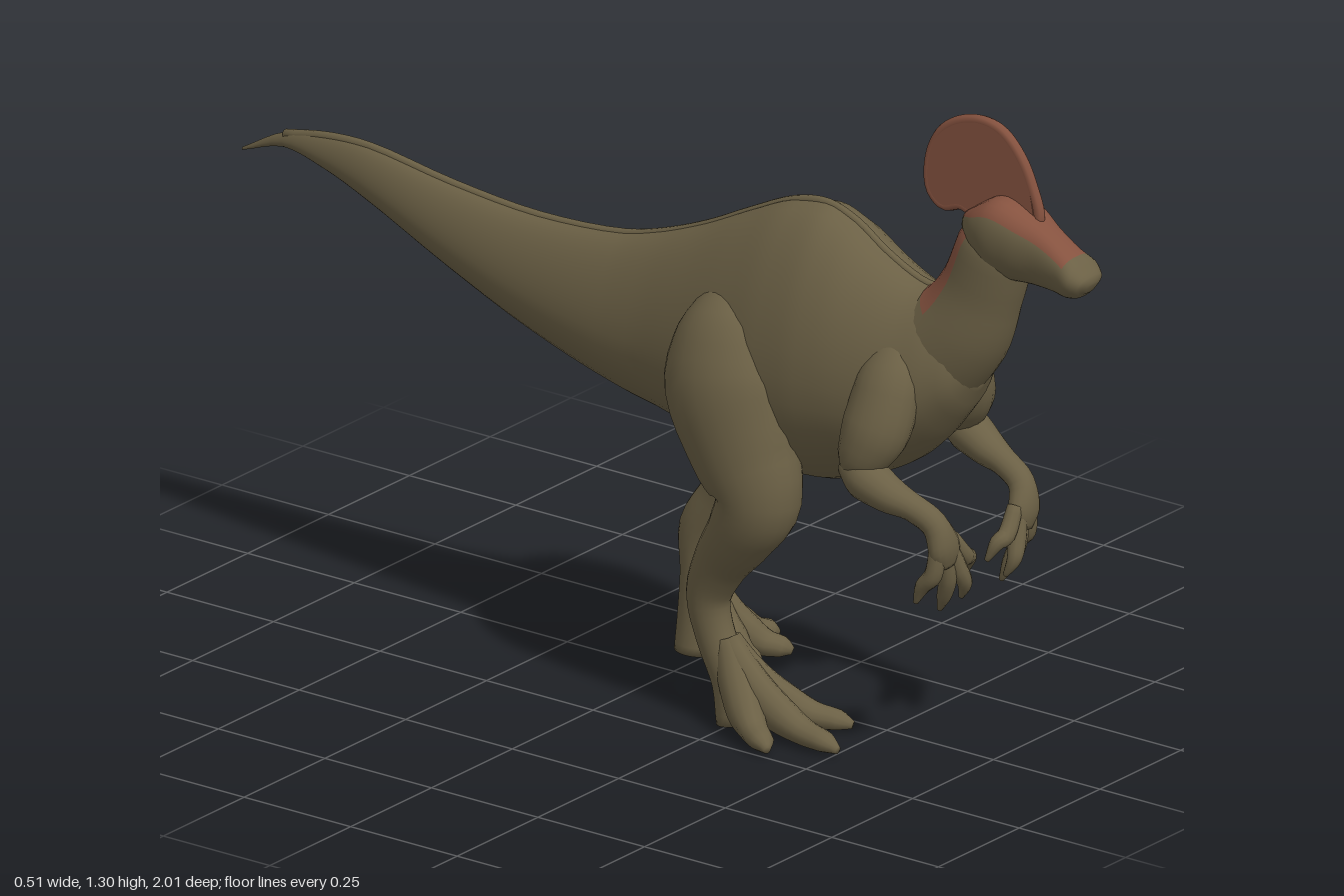
import * as THREE from 'three';

const mat = (name, color) => {
  const m = new THREE.MeshStandardMaterial({ color });
  m.name = name;
  return m;
};
const CX = -0.022; // centreline of the body

export function createModel() {
  const olive = mat('olive skin', 0x6b6045);
  const red = mat('rust red skin', 0x85523f);
  const model = new THREE.Group();

  // Smooth sweep through rows [x, y, z, halfWidth, halfDepth]; angle 0 is the upper/back side.
  // isRed(angle from 0, position along 0..1) picks red faces; upright keeps the rings vertical.
  function sweep(name, rows, { n = 20, per = 4, shape = null, isRed = () => false, upright = false, parent = model } = {}) {
    const path = new THREE.CatmullRomCurve3(rows.map(r => new THREE.Vector3(r[0], r[1], r[2])));
    const size = new THREE.CatmullRomCurve3(rows.map(r => new THREE.Vector3(r[3], r[4], 0)));
    const steps = (rows.length - 1) * per;
    const pos = [], main = [], accent = [];
    for (let j = 0; j <= steps; j++) {
      const u = j / steps, c = path.getPoint(u), s = size.getPoint(u);
      const t = upright ? new THREE.Vector3(0, 0, 1) : path.getTangent(u);
      const side = new THREE.Vector3(1, 0, 0).addScaledVector(t, -t.x).normalize();
      const up = new THREE.Vector3().crossVectors(t, side);
      for (let i = 0; i < n; i++) {
        const a = (i - 0.5) / n * Math.PI * 2;
        const [px, py] = shape ? shape(a) : [Math.sin(a), Math.cos(a)];
        const p = c.clone().addScaledVector(side, px * Math.max(s.x, 0.001))
          .addScaledVector(up, py * Math.max(s.y, 0.001));
        pos.push(p.x, p.y, p.z);
      }
    }
    for (let j = 0; j < steps; j++) for (let i = 0; i < n; i++) {
      const mid = Math.abs(i > n / 2 ? i - n : i) / n * Math.PI * 2;
      const k = (i + 1) % n, a = j * n + i, b = j * n + k, c = a + n, d = b + n;
      (isRed(mid, (j + 0.5) / steps) ? accent : main).push(a, c, b, b, c, d);
    }
    // ends close on a centre vertex
    const e = pos.length / 3, p0 = path.getPoint(0), p1 = path.getPoint(1), l = steps * n;
    pos.push(p0.x, p0.y, p0.z, p1.x, p1.y, p1.z);
    for (let i = 0; i < n; i++) {
      const k = (i + 1) % n;
      main.push(e, i, k, e + 1, l + k, l + i);
    }
    const g = new THREE.BufferGeometry();
    g.setAttribute('position', new THREE.Float32BufferAttribute(pos, 3));
    g.setIndex([...main, ...accent]);
    g.addGroup(0, main.length, 0);
    g.addGroup(main.length, accent.length, 1);
    g.computeVertexNormals();
    const mesh = new THREE.Mesh(g, [olive, red]);
    mesh.name = name;
    parent.add(mesh);
  }

  // Torso and tail: [z, top, bottom, half width], with a keeled belly
  const profile = [
    [-1, 0.828, 0.822, 0.002], [-0.9, 0.882, 0.852, 0.011], [-0.8, 0.9, 0.83, 0.021],
    [-0.7, 0.903, 0.793, 0.032], [-0.5, 0.875, 0.705, 0.052], [-0.3, 0.86, 0.625, 0.07],
    [-0.1, 0.873, 0.565, 0.09], [0, 0.9, 0.545, 0.102], [0.1, 0.94, 0.522, 0.122],
    [0.2, 0.99, 0.498, 0.142], [0.3, 1.035, 0.488, 0.156], [0.38, 1.047, 0.495, 0.159],
    [0.45, 1.025, 0.512, 0.155], [0.52, 0.98, 0.54, 0.147], [0.6, 0.943, 0.585, 0.132],
    [0.66, 0.935, 0.64, 0.112], [0.71, 0.91, 0.705, 0.082], [0.74, 0.86, 0.765, 0.035],
  ];
  const lean = z => CX + 0.006 * Math.max(0, -z);
  sweep('torsoAndTail', profile.map(([z, t, b, w]) => [lean(z), (t + b) / 2, z, w, (t - b) / 2]), {
    n: 32, upright: true,
    shape: a => {
      const c = Math.cos(a);
      return [Math.sin(a) * (1 - 0.17 * c - (c < 0 ? 0.35 * c ** 4 : 0)), c];
    },
  });

  // Low ridge along the spine
  sweep('spineRidge', profile.slice(1, 16).map(([z, t]) => [lean(z), t - 0.004, z, 0.009, 0.01]),
    { n: 8, upright: true });

  // Neck with a red stripe down the back
  sweep('neck', [
    [CX, 0.78, 0.6, 0.1, 0.12], [CX, 0.875, 0.697, 0.085, 0.1], [CX, 0.96, 0.742, 0.07, 0.083],
    [CX, 1.045, 0.772, 0.067, 0.078], [CX, 1.1, 0.79, 0.05, 0.06],
  ], { n: 28, isRed: (a, u) => a < 1.05 && u > 0.25 });

  // Head with a flared brow and a red top that stops short of the snout tip
  const HX = CX - 0.005;
  sweep('head', [
    [HX, 1.09, 0.715, 0.025, 0.025], [HX, 1.086, 0.755, 0.058, 0.058],
    [HX, 1.082, 0.8, 0.068, 0.083], [HX, 1.072, 0.845, 0.06, 0.074],
    [HX, 1.059, 0.89, 0.044, 0.06], [HX, 1.044, 0.935, 0.042, 0.047],
    [HX, 1.032, 0.97, 0.049, 0.038], [HX, 1.024, 0.993, 0.037, 0.025],
    [HX, 1.02, 1, 0.014, 0.01],
  ], {
    n: 32, isRed: (a, u) => a < 0.9 && u < 0.68,
    shape: a => [Math.sign(Math.sin(a)) * Math.abs(Math.sin(a)) ** 0.7 * (1 + 0.16 * Math.cos(a)), Math.cos(a)],
  });

  // Upright disc crest with a raised rim
  const outline = [
    [0.875, 1.12], [0.858, 1.2], [0.828, 1.253], [0.79, 1.287], [0.745, 1.297], [0.69, 1.283],
    [0.645, 1.248], [0.622, 1.19], [0.626, 1.132], [0.655, 1.108], [0.7, 1.118], [0.76, 1.09],
  ];
  const disc = new THREE.Shape();
  const [first, ...rest] = [...outline, outline[0]].map(p => new THREE.Vector2(...p));
  disc.moveTo(first.x, first.y).splineThru(rest);
  const crestGeo = new THREE.ExtrudeGeometry(disc, { depth: 0.02, bevelEnabled: false, curveSegments: 60 });
  crestGeo.translate(0, 0, -0.01).rotateY(-Math.PI / 2);
  const crest = new THREE.Mesh(crestGeo, red);
  crest.name = 'crest';
  crest.position.x = HX;
  const rimPath = new THREE.CatmullRomCurve3(outline.map(([z, y]) => new THREE.Vector3(HX, y, z)), true);
  const rim = new THREE.Mesh(new THREE.TubeGeometry(rimPath, 72, 0.011, 8, true), red);
  rim.name = 'crestRim';
  model.add(crest, rim);

  // Legs in mid-stride, each spreading from the ankle into three splayed toes
  function leg(name, rows, ankle, tips) {
    const group = new THREE.Group();
    group.name = name;
    sweep('thighAndShin', rows, { n: 22, parent: group });
    for (const [x, z] of tips) {
      const at = (k, y, w, h) => [ankle[0] + (x - ankle[0]) * k, y, ankle[1] + (z - ankle[1]) * k, w, h];
      sweep('toe', [at(0, 0.17, 0.026, 0.026), at(0.17, 0.11, 0.031, 0.036), at(0.42, 0.06, 0.033, 0.038),
        at(0.68, 0.035, 0.028, 0.026), at(0.88, 0.028, 0.023, 0.02), at(1, 0.02, 0.007, 0.008)],
      { n: 12, parent: group });
    }
    model.add(group);
  }
  leg('leftLeg', [
    [0.06, 0.87, 0.14, 0.02, 0.03], [0.078, 0.79, 0.15, 0.08, 0.096], [0.092, 0.68, 0.16, 0.102, 0.126],
    [0.105, 0.58, 0.172, 0.094, 0.106], [0.115, 0.49, 0.145, 0.077, 0.082], [0.113, 0.41, 0.093, 0.057, 0.064],
    [0.105, 0.33, 0.038, 0.038, 0.054], [0.1, 0.26, -0.008, 0.034, 0.05], [0.1, 0.17, -0.016, 0.034, 0.038],
    [0.104, 0.08, -0.02, 0.04, 0.042], [0.104, 0.015, -0.022, 0.044, 0.046],
  ], [0.107, -0.005], [[0.25, 0.055], [0.19, 0.135], [0.085, 0.135]]);
  leg('rightLeg', [
    [-0.09, 0.87, 0.2, 0.02, 0.03], [-0.118, 0.79, 0.215, 0.08, 0.1], [-0.138, 0.68, 0.235, 0.102, 0.135],
    [-0.15, 0.57, 0.28, 0.092, 0.118], [-0.16, 0.48, 0.318, 0.077, 0.088], [-0.16, 0.41, 0.285, 0.064, 0.07],
    [-0.148, 0.33, 0.225, 0.045, 0.056], [-0.143, 0.25, 0.19, 0.036, 0.046], [-0.142, 0.17, 0.207, 0.035, 0.04],
    [-0.142, 0.09, 0.25, 0.04, 0.045], [-0.142, 0.015, 0.264, 0.046, 0.046],
  ], [-0.142, 0.235], [[-0.245, 0.405], [-0.165, 0.51], [-0.045, 0.455]]);

  // Mirrored arms with four hanging fingers; x is measured from the centreline
  for (const s of [1, -1]) {
    const group = new THREE.Group();
    group.name = s > 0 ? 'leftArm' : 'rightArm';
    const put = rows => rows.map(([x, ...r]) => [CX - 0.003 + s * x, ...r]);
    sweep('upperArm', put([
      [0.06, 0.86, 0.59, 0.02, 0.03], [0.1, 0.77, 0.6, 0.056, 0.066], [0.13, 0.69, 0.595, 0.06, 0.068],
      [0.15, 0.625, 0.575, 0.047, 0.05], [0.156, 0.578, 0.563, 0.02, 0.02],
    ]), { n: 18, parent: group });
    sweep('forearm', put([
      [0.158, 0.61, 0.54, 0.02, 0.02], [0.158, 0.592, 0.59, 0.043, 0.043], [0.152, 0.568, 0.64, 0.037, 0.035],
      [0.143, 0.55, 0.69, 0.027, 0.026], [0.135, 0.525, 0.732, 0.026, 0.026], [0.124, 0.48, 0.747, 0.038, 0.024],
      [0.115, 0.445, 0.745, 0.03, 0.018],
    ]), { n: 16, parent: group });
    for (const [x, y, z] of [[0.03, 0.4, 0.735], [0.068, 0.362, 0.75], [0.095, 0.338, 0.72], [0.15, 0.365, 0.705]]) {
      const bx = 0.12 + (x - 0.09) * 0.35;
      sweep('finger', put([
        [bx, 0.49, 0.745, 0.016, 0.016], [(bx + x) / 2, (0.49 + y) / 2, z * 0.4 + 0.76 * 0.6, 0.018, 0.018],
        [x * 0.8 + bx * 0.2, y + 0.035, z + 0.01, 0.015, 0.015], [x, y, z - 0.005, 0.005, 0.005],
      ]), { n: 10, parent: group });
    }
    model.add(group);
  }
  return model;
}
